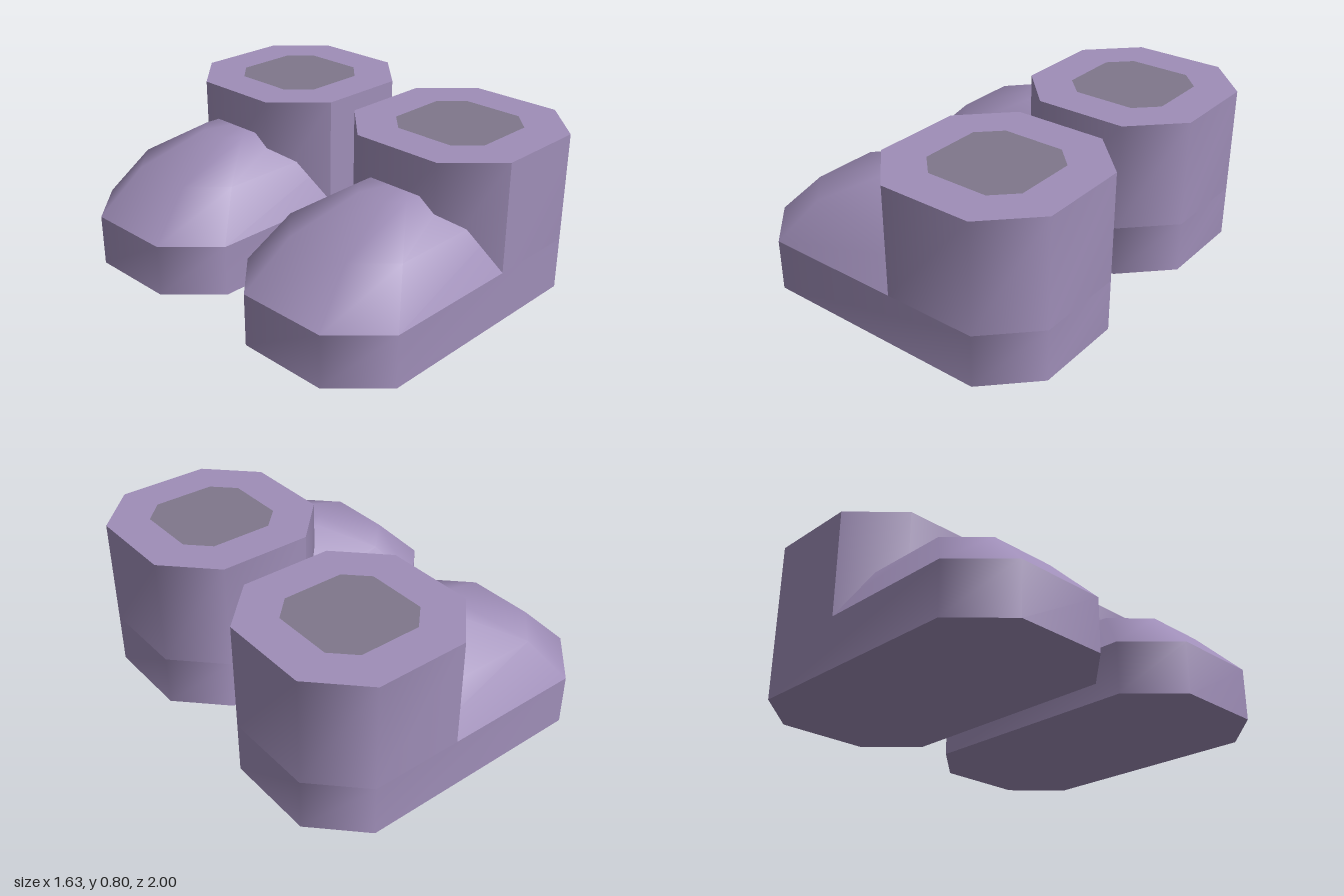
import * as THREE from 'three';

const leather = new THREE.MeshStandardMaterial({ color: 0x9f8eb8 });
leather.name = 'mauve leather';
const lining = new THREE.MeshStandardMaterial({ color: 0x7f778b });
lining.name = 'grey lining';

const SOLE_TOP = 0.26, HEIGHT = 0.8, SHAFT_X = 0.357;

// Chamfered rectangle as [x, z] points, starting on the -x side at +z
function octagon(cx, halfX, halfZ, cutX, cutZ) {
  const a = halfX - cutX, b = halfZ - cutZ;
  return [[a, -halfZ], [halfX, -b], [halfX, b], [a, halfZ], [-a, halfZ], [-halfX, b], [-halfX, -b], [-a, -halfZ]]
    .map(([x, z]) => [x + cx, z]);
}

// Smooth surface through rings of points, each ring scaled and set at a height
function loft(points, levels, closed) {
  const n = points.length, pos = [], index = [];
  for (const [y, s] of levels) for (const [x, z] of points) pos.push(x * s, y, z * s);
  for (let r = 0; r < levels.length - 1; r++) {
    for (let i = 0; i < (closed ? n : n - 1); i++) {
      const a = r * n + i, b = r * n + (i + 1) % n;
      index.push(a, a + n, b, b, a + n, b + n);
    }
  }
  const g = new THREE.BufferGeometry();
  g.setAttribute('position', new THREE.Float32BufferAttribute(pos, 3));
  g.setIndex(index);
  g.computeVertexNormals();
  return g;
}

// Flat horizontal face, optionally with a hole, facing up or down
function flat(points, y, up = true, hole = null) {
  const toV = (p) => p.map(([x, z]) => new THREE.Vector2(x, z));
  const shape = new THREE.Shape(toV(points));
  if (hole) shape.holes.push(new THREE.Path(toV(hole)));
  return new THREE.ShapeGeometry(shape).rotateX(up ? -Math.PI / 2 : Math.PI / 2).translate(0, y, 0);
}

function createBoot() {
  const boot = new THREE.Group();
  const add = (name, geometry, material = leather) => {
    const mesh = new THREE.Mesh(geometry, material);
    mesh.name = name;
    boot.add(mesh);
  };
  const foot = octagon(0, 0.815, 0.46, 0.226, 0.23);
  const shaft = octagon(SHAFT_X, 0.458, 0.46, 0.226, 0.23);
  const opening = octagon(SHAFT_X, 0.26, 0.26, 0.105, 0.105);

  // Sole band and underside
  add('sole', loft(foot, [[0, 1], [SOLE_TOP, 1]], true));
  add('underside', flat(foot, 0, false));

  // Domed toe, rising in shrinking copies of the footprint
  add('toe', loft(foot, [[SOLE_TOP, 1], [0.48, 0.73], [0.615, 0.315], [0.615, 0]], true));

  // Shaft: heel wall and instep wall meet at a sharp edge
  const walls = [[SOLE_TOP, 1], [HEIGHT, 1]];
  add('heelWall', loft([shaft[7], ...shaft.slice(0, 5)], walls, false));
  add('instepWall', loft(shaft.slice(4), walls, false));

  // Rim and opening
  add('rim', flat(shaft, HEIGHT, true, opening));
  add('opening', flat(opening, HEIGHT), lining);
  return boot;
}

export function createModel() {
  const model = new THREE.Group();
  model.name = 'boots';
  for (const side of [-1, 1]) {
    const boot = createBoot();
    boot.name = side < 0 ? 'rearBoot' : 'frontBoot';
    boot.position.z = side * 0.54;
    model.add(boot);
  }
  return model;
}
